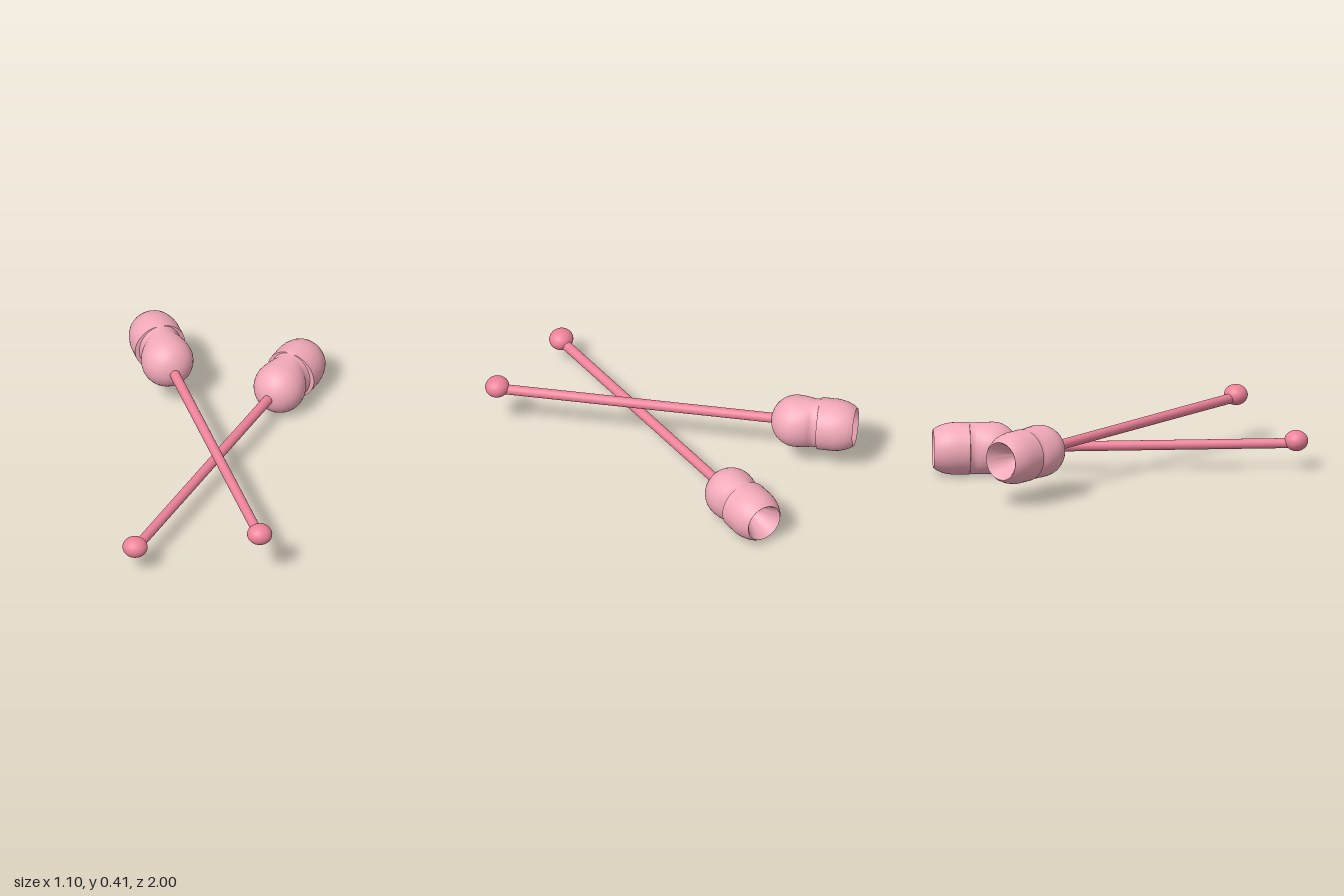
import * as THREE from 'three';
import { toCreasedNormals } from 'three/addons/utils/BufferGeometryUtils.js';

const R = 0.146; // head radius
const TIP = 1.553; // where the dome begins, measured from the ball
const END = 2.028; // rim of the hollow end

// Head turned around the stick axis: dome, side-pinched groove, barrel, conical hollow
function headGeometry() {
  const profile = [];
  for (let i = 0; i <= 10; i++) {
    const a = (i / 10) * Math.PI / 2;
    profile.push([R * Math.sin(a), TIP + 0.142 * (1 - Math.cos(a))]);
  }
  profile.push(
    [0.142, 1.73], [0.134, 1.757], [0.124, 1.777], // taper to groove
    [0.117, 1.786], [0.114, 1.8], [0.117, 1.815], [0.122, 1.825], // groove floor
    [R, 1.827], [R, 1.88], [R, 1.92], [0.142, 1.95], [0.134, 1.98], [0.122, 2.008], [0.107, END], // barrel
    [0.1, END - 0.006], [0.062, 1.93], [0.028, 1.865], [0, 1.865] // hollow
  );
  const geo = new THREE.LatheGeometry(profile.map(([r, y]) => new THREE.Vector2(r, y)), 48);

  // The groove only cuts in from the sides; above and below it keeps the full radius
  const p = geo.attributes.position;
  for (let i = 0; i < p.count; i++) {
    const x = p.getX(i), y = p.getY(i), z = p.getZ(i);
    const r = Math.hypot(x, z);
    if (y > 1.72 && y < 1.826 && r > 0.1) p.setZ(i, (z / r) * (R - 0.001));
  }
  geo.rotateX(-Math.PI / 2);
  return toCreasedNormals(geo, 0.6);
}

export function createModel() {
  const headMat = new THREE.MeshStandardMaterial({ color: 0xf2a9b9 });
  const stickMat = new THREE.MeshStandardMaterial({ color: 0xee8299 });
  const headGeo = headGeometry();
  const stickGeo = new THREE.CylinderGeometry(0.028, 0.028, 1.87, 20)
    .translate(0, 0.935, 0).rotateX(-Math.PI / 2);
  const ballGeo = new THREE.SphereGeometry(1, 32, 20).scale(0.0705, 0.058, 0.066);

  // One mallet lying flat, running from its ball towards the back
  function mallet(name, x, y, z, angle) {
    const group = new THREE.Group();
    group.name = name;
    const add = (part, geo, mat) => {
      const mesh = new THREE.Mesh(geo, mat);
      mesh.name = part;
      group.add(mesh);
      return mesh;
    };
    add('head', headGeo, headMat);
    add('stick', stickGeo, stickMat).position.y = 0.002;
    const ball = add('endBall', ballGeo, stickMat);
    ball.position.y = 0.016;
    ball.rotation.y = -angle;
    group.position.set(x, y, z);
    group.rotation.y = angle;
    return group;
  }

  const model = new THREE.Group();
  model.name = 'crossedMallets';
  model.add(
    mallet('lowerMallet', -0.29, 0.148, 0.932, -0.37),
    mallet('upperMallet', 0.404, 0.267, 0.883, 0.434)
  );
  return model;
}
